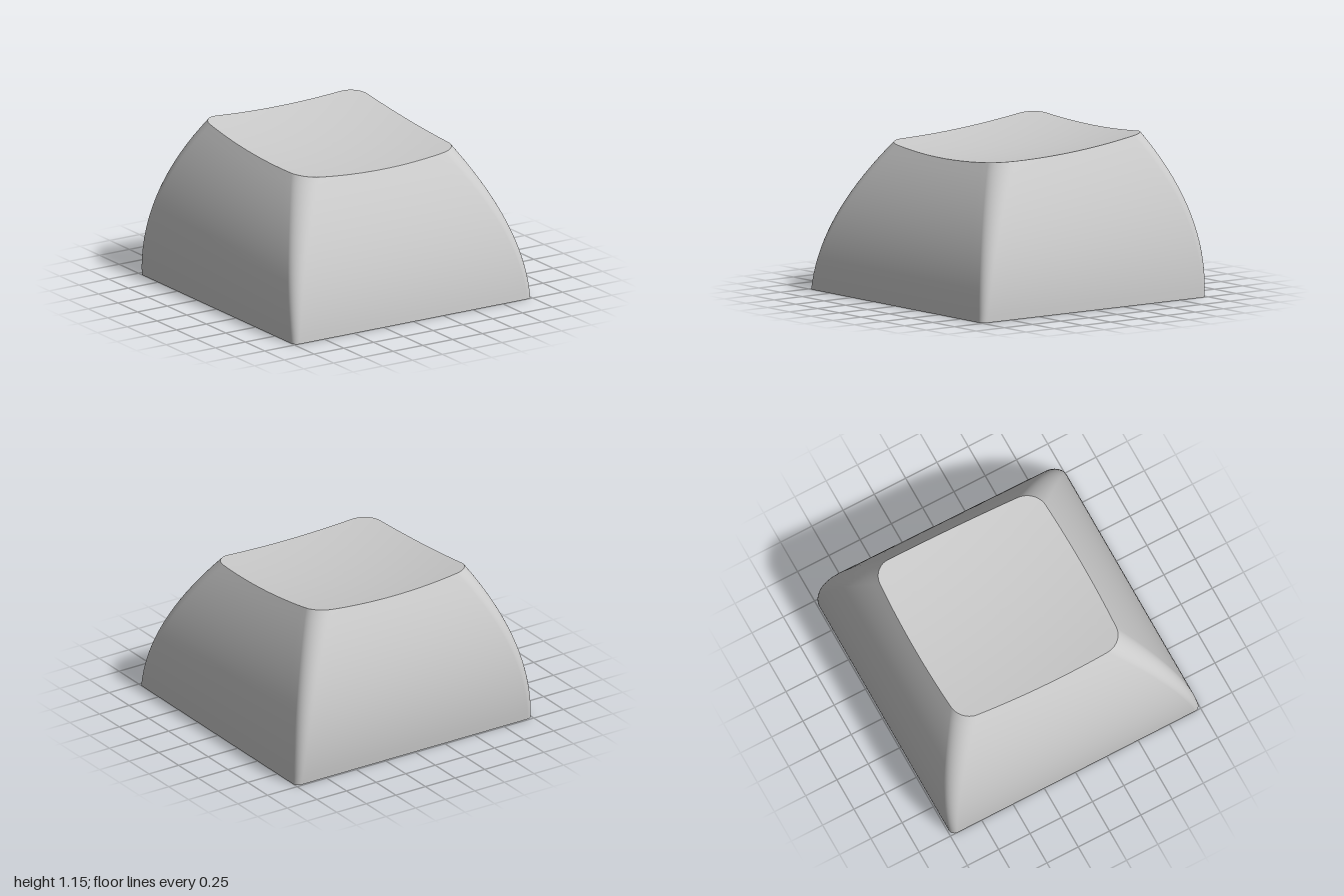
import * as THREE from 'three';

const material = new THREE.MeshStandardMaterial({ color: 0xcccccc });
const CENTER_Z = -0.07;

// Concave, tilted top surface
const dishHeight = (x, z) => 1.03 + 0.1 * x * x - 0.067 * z + 0.078 * z * z;
// Tilted flat ceiling of the cavity
const ceilingHeight = (z) => 0.83 - 0.06 * z;

// Perimeter stations: arcs at the four corners, subdivided straight edges between
const ARC = 10, EDGE = 16;
const stations = [];
for (let c = 0; c < 4; c++) {
  for (let i = 0; i <= ARC; i++) stations.push({ c, a: (c + i / ARC) * Math.PI / 2, t: 0 });
  for (let i = 1; i < EDGE; i++) stations.push({ c, a: (c + 1) * Math.PI / 2, t: i / EDGE });
}

// Point of a rounded rectangle l = { x, front, back, r } at height y
function rectPoint({ c, a, t }, l, y) {
  const corner = (k) => [
    (k % 4 === 0 || k % 4 === 3 ? 1 : -1) * (l.x - l.r) + l.r * Math.cos(a),
    (k % 4 < 2 ? l.front - l.r : l.back + l.r) + l.r * Math.sin(a),
  ];
  const p = corner(c), q = corner(c + 1);
  return new THREE.Vector3(p[0] + (q[0] - p[0]) * t, y, p[1] + (q[1] - p[1]) * t);
}

// Outer body: sections lean with the top, so the sides narrow evenly front to back
function bodyPoint(station, y) {
  let p = { z: 0 };
  for (let i = 0; i < 5; i++) {
    const u = y * 1.1 / (1.1 - 0.08 * p.z);
    p = rectPoint(station, {
      x: 1 - 0.285 * u * u,
      front: 1 - 0.083 * y - 0.299 * y * y,
      back: -0.99 - 0.115 * y + 0.293 * y * y,
      r: 0.045 + 0.085 * u,
    }, y);
  }
  return p;
}

// Height at which each station meets the dish
const topHeights = stations.map((s) => {
  let y = 1.07;
  for (let i = 0; i < 12; i++) {
    const p = bodyPoint(s, y);
    y = dishHeight(p.x, p.z);
  }
  return y;
});

// Skin a list of closed loops
function loft(name, loops, flat = false) {
  const n = loops[0].length, index = [];
  for (let i = 0; i < loops.length - 1; i++) {
    for (let j = 0; j < n; j++) {
      const k = (j + 1) % n;
      const a = i * n + j, b = i * n + k, c = a + n, d = b + n;
      index.push(a, c, b, b, c, d);
    }
  }
  let geometry = new THREE.BufferGeometry().setFromPoints(loops.flat());
  geometry.setIndex(index);
  if (flat) geometry = geometry.toNonIndexed();
  geometry.computeVertexNormals();
  return named(name, geometry);
}

function named(name, geometry) {
  const mesh = new THREE.Mesh(geometry, material);
  mesh.name = name;
  return mesh;
}

// Outline of the cross socket, grown by an offset
function crossOutline(grow) {
  const L = 0.228 + grow, w = 0.07 + grow, points = [];
  for (let k = 0; k < 4; k++) {
    for (const [x, y] of [[L, -w], [L, w], [w, w]]) {
      points.push(new THREE.Vector2(x, y).rotateAround(new THREE.Vector2(), k * Math.PI / 2));
    }
  }
  return points;
}

function createStem() {
  const stem = new THREE.Group();
  stem.name = 'stem';

  // Round post with a filleted lower edge
  const R = 0.3, f = 0.03, profile = [];
  for (let i = 0; i <= 6; i++) {
    const a = (i / 6) * Math.PI / 2;
    profile.push(new THREE.Vector2(R - f + f * Math.sin(a), f - f * Math.cos(a)));
  }
  profile.push(new THREE.Vector2(R, 0.07), new THREE.Vector2(R, ceilingHeight(-0.5)));
  stem.add(named('stemPost', new THREE.LatheGeometry(profile, 48)));

  // Lower end face around the socket
  const face = new THREE.Shape().absarc(0, 0, R - f, 0, Math.PI * 2);
  face.holes.push(new THREE.Path(crossOutline(0.015)));
  const end = new THREE.ShapeGeometry(face, 24);
  end.rotateX(Math.PI / 2);
  stem.add(named('stemEnd', end));

  // Cross socket with a flared mouth and closed end
  const crossLoop = (grow, y) => crossOutline(grow).map((p) => new THREE.Vector3(p.x, y, p.y));
  const depth = 0.435;
  const middle = crossOutline(0).map(() => new THREE.Vector3(0, depth, 0));
  stem.add(loft('stemSocket', [middle, crossLoop(0, depth), crossLoop(0, 0.05), crossLoop(0.015, 0)], true));
  return stem;
}

export function createModel() {
  const group = new THREE.Group();
  group.name = 'keycap';

  // Curved outer walls, trimmed by the dish
  const ROWS = 18, walls = [];
  for (let i = 0; i <= ROWS; i++) {
    walls.push(stations.map((s, j) => bodyPoint(s, topHeights[j] * i / ROWS)));
  }
  group.add(loft('outerWalls', walls));

  // Dished top
  const rim = walls[ROWS], RINGS = 14, rings = [];
  for (let i = 0; i <= RINGS; i++) {
    const k = 1 - i / RINGS;
    rings.push(rim.map((p) => {
      const x = p.x * k, z = CENTER_Z + (p.z - CENTER_Z) * k;
      return new THREE.Vector3(x, dishHeight(x, z), z);
    }));
  }
  group.add(loft('dishedTop', rings));

  // Hollow underside: flat rim, straight tapered inner walls and ceiling
  const mouth = stations.map((s) => rectPoint(s, { x: 0.815, front: 0.815, back: -0.81, r: 0.035 }, 0));
  const upper = stations.map((s) => {
    const p = rectPoint(s, { x: 0.54, front: 0.48, back: -0.6, r: 0.035 }, 0);
    return p.setY(ceilingHeight(p.z));
  });
  const middle = stations.map(() => new THREE.Vector3(0, ceilingHeight(CENTER_Z), CENTER_Z));
  group.add(loft('bottomRim', [mouth, walls[0]]));
  group.add(loft('innerWalls', [upper, mouth]));
  group.add(loft('ceiling', [middle, upper]));

  group.add(createStem());
  return group;
}
